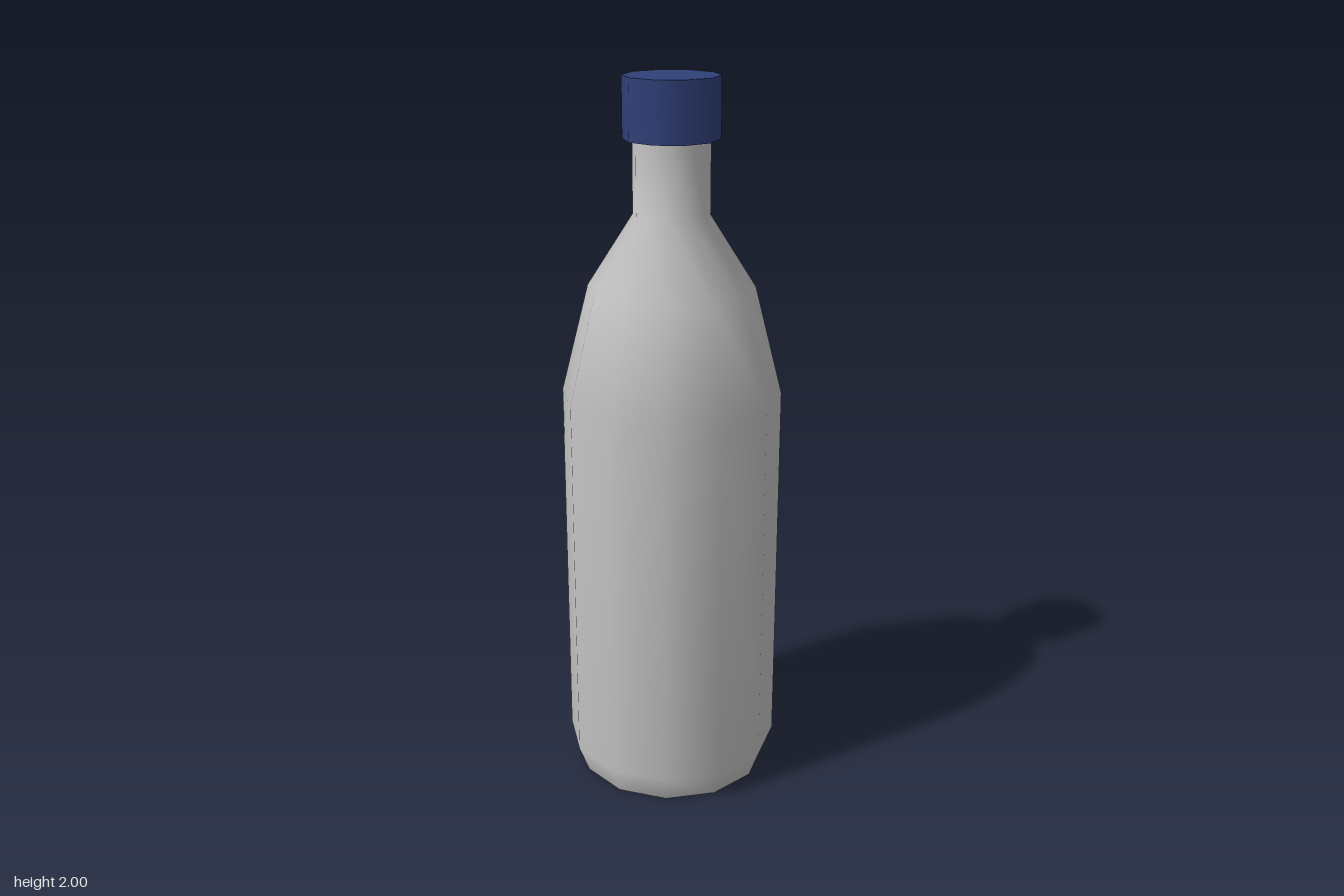
import * as THREE from 'three';

const SIDES = 12;
const CAP_SIDES = 10;

export function createModel() {
  const grey = new THREE.MeshStandardMaterial({ color: 0xc2c2c2 });
  grey.name = 'bottle grey';
  const blue = new THREE.MeshStandardMaterial({ color: 0x304078 });
  blue.name = 'cap blue';

  const model = new THREE.Group();
  model.name = 'bottle';
  const add = (name, geometry, material) => {
    const mesh = new THREE.Mesh(geometry, material);
    mesh.name = name;
    model.add(mesh);
    return mesh;
  };

  // Body, shoulder and neck as one smooth turned profile [radius, height]
  const profile = [
    [0.274, 0], [0.304, 0.08], [0.304, 1.145],
    [0.228, 1.445], [0.104, 1.64], [0.104, 1.86],
  ].map(([r, y]) => new THREE.Vector2(r, y));
  add('body', new THREE.LatheGeometry(profile, SIDES), grey);

  // Flat base with a sharp rim
  add('base', new THREE.CircleGeometry(0.274, SIDES).rotateX(Math.PI / 2), grey);

  // Screw cap, with a corner pointing along x
  const cap = new THREE.CylinderGeometry(0.13, 0.13, 0.162, CAP_SIDES, 1, false, Math.PI / 2);
  add('cap', cap, blue).position.y = 1.919;

  return model;
}
